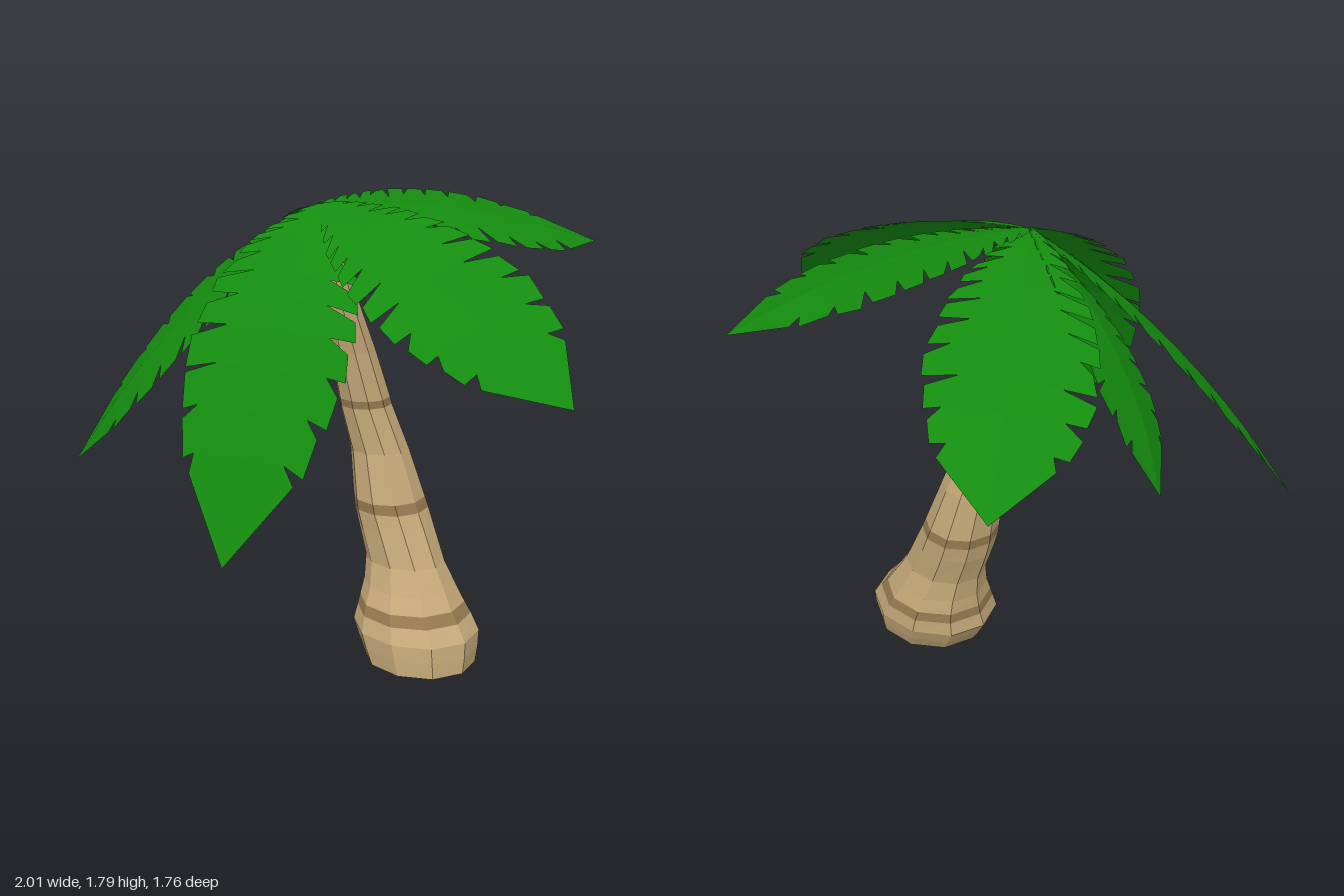
import * as THREE from 'three';

const SIDES = 10;
const material = (color) => new THREE.MeshStandardMaterial({ color, flatShading: true, side: THREE.DoubleSide });
const bark = material(0xc4a878);
const bandBark = material(0x947850);
const green = material(0x148c0f);

function makeMesh(name, positions, mat) {
  const geometry = new THREE.BufferGeometry();
  geometry.setAttribute('position', new THREE.Float32BufferAttribute(positions, 3));
  geometry.computeVertexNormals();
  const mesh = new THREE.Mesh(geometry, mat);
  mesh.name = name;
  return mesh;
}

const pushTri = (out, a, b, c) => [a, b, c].forEach((p) => out.push(p.x, p.y, p.z));
function pushQuad(out, a, b, c, d) {
  pushTri(out, a, b, c);
  pushTri(out, a, c, d);
}

// Trunk cross-sections: height, centre x, centre z, radius x, radius z
const RINGS = [
  [0, 0.145, -0.09, 0.23, 0.205],
  [0.06, 0.125, -0.1, 0.25, 0.22],
  [0.12, 0.105, -0.108, 0.265, 0.23],
  [0.18, 0.085, -0.118, 0.235, 0.215],
  [0.22, 0.07, -0.122, 0.215, 0.2],
  [0.28, 0.05, -0.13, 0.193, 0.172],
  [0.37, 0.015, -0.137, 0.168, 0.142],
  [0.5, -0.04, -0.14, 0.158, 0.143],
  [0.57, -0.065, -0.139, 0.15, 0.145],
  [0.61, -0.075, -0.137, 0.143, 0.142],
  [0.8, -0.12, -0.128, 0.118, 0.115],
  [0.98, -0.16, -0.09, 0.104, 0.104],
  [1.01, -0.163, -0.085, 0.103, 0.102],
  [1.2, -0.175, -0.037, 0.088, 0.092],
  [1.4, -0.178, 0.03, 0.076, 0.076],
  [1.6, -0.175, 0.09, 0.062, 0.062],
  [1.74, -0.172, 0.12, 0.05, 0.05],
];
const BANDS = [3, 8, 11];

function ringPoint([y, x, z, rx, rz], i) {
  const a = ((i + 0.5) / SIDES) * Math.PI * 2;
  return new THREE.Vector3(x + Math.sin(a) * rx, y, z + Math.cos(a) * rz);
}

function createTrunk() {
  const trunk = new THREE.Group();
  trunk.name = 'trunk';
  const plain = [], bands = [], caps = [];
  const base = RINGS[0], top = RINGS[RINGS.length - 1];
  for (let i = 0; i < SIDES; i++) {
    for (let r = 0; r < RINGS.length - 1; r++) {
      pushQuad(BANDS.includes(r) ? bands : plain,
        ringPoint(RINGS[r], i), ringPoint(RINGS[r], i + 1),
        ringPoint(RINGS[r + 1], i + 1), ringPoint(RINGS[r + 1], i));
    }
    pushTri(caps, new THREE.Vector3(base[1], base[0], base[2]), ringPoint(base, i + 1), ringPoint(base, i));
    pushTri(caps, new THREE.Vector3(top[1], top[0], top[2]), ringPoint(top, i), ringPoint(top, i + 1));
  }
  trunk.add(makeMesh('trunkBark', plain, bark), makeMesh('trunkBands', bands, bandBark),
    makeMesh('trunkEnds', caps, bark));
  return trunk;
}

// Half width of a frond along its length
const WIDTHS = [[0, 0.03], [0.1, 0.11], [0.2, 0.18], [0.35, 0.25], [0.5, 0.285], [0.65, 0.285], [0.82, 0.215], [1, 0]];
function halfWidth(t) {
  const k = Math.max(1, WIDTHS.findIndex((w) => w[0] >= t));
  const [t0, w0] = WIDTHS[k - 1], [t1, w1] = WIDTHS[k];
  return THREE.MathUtils.mapLinear(t, t0, t1, w0, w1);
}

const NOTCHES = [0, 0.05, 0.1, 0.15, 0.2, 0.26, 0.33, 0.41, 0.5, 0.6, 0.7, 0.8, 1];
const CROWN = new THREE.Vector3(-0.17, 1.78, 0.12);

// Frond: bent midrib, slightly drooping halves, leaflets split by notches
function createFrond(name, mid, tip, roll, breadth, seed) {
  let state = seed;
  const random = () => (state = (state * 16807) % 2147483647) / 2147483647;
  const end = new THREE.Vector3(...tip);
  const control = new THREE.Vector3(...mid).multiplyScalar(2)
    .addScaledVector(CROWN, -0.5).addScaledVector(end, -0.5);
  const rib = new THREE.QuadraticBezierCurve3(CROWN, control, end);
  const across = new THREE.Vector3(CROWN.z - end.z, 0, end.x - CROWN.x).normalize();

  const point = (t, side, w) => {
    const tangent = rib.getTangent(t);
    const sideways = across.clone().applyAxisAngle(tangent, roll);
    const up = new THREE.Vector3().crossVectors(sideways, tangent).normalize();
    return rib.getPoint(t).addScaledVector(sideways, side * w * breadth).addScaledVector(up, -0.08 * w);
  };

  const out = [];
  for (const side of [-1, 1]) {
    const depths = NOTCHES.map((t) => halfWidth(t) * (0.42 + 0.2 * t + 0.25 * random()));
    for (let i = 0; i < NOTCHES.length - 1; i++) {
      const t0 = NOTCHES[i], t1 = NOTCHES[i + 1];
      const o0 = t0 + 0.03 + 0.014 * random();
      const o1 = t1 === 1 ? 1 : t1 + 0.002 + 0.02 * random();
      const in0 = point(t0, side, depths[i]), in1 = point(t1, side, depths[i + 1]);
      const quad = (a, b, c, d) => (side > 0 ? pushQuad(out, a, d, c, b) : pushQuad(out, a, b, c, d));
      quad(point(t0, side, 0), point(t1, side, 0), in1, in0);
      const grow = 0.92 + 0.12 * random();
      quad(in0, in1, point(o1, side, halfWidth(o1)), point(o0, side, halfWidth(o0) * grow));
    }
  }
  return makeMesh(name, out, green);
}

export function createModel() {
  const palm = new THREE.Group();
  palm.name = 'palmTree';
  palm.add(createTrunk());

  // Midpoint and tip of each midrib, roll about it, breadth
  const fronds = [
    ['backRightFrond', [0.1, 1.735, -0.36], [0.32, 1.58, -0.88], 0.19, 1],
    ['backLeftFrond', [-0.53, 1.64, -0.38], [-0.86, 1.36, -0.88], -0.12, 1],
    ['leftFrond', [-0.62, 1.48, 0.05], [-0.97, 1.13, -0.13], -0.7, 0.85],
    ['frontFrond', [0.02, 1.41, 0.53], [0.13, 0.64, 0.88], -0.08, 1.06],
    ['rightFrond', [0.42, 1.59, 0.15], [0.99, 1.22, 0.06], 0.4, 1],
    ['frontLeftFrond', [-0.61, 1.34, 0.43], [-1, 0.73, 0.7], -0.3, 1],
  ];
  fronds.forEach(([name, mid, tip, roll, breadth], i) => {
    palm.add(createFrond(name, mid, tip, roll, breadth, 101 + i * 7919));
  });
  return palm;
}
